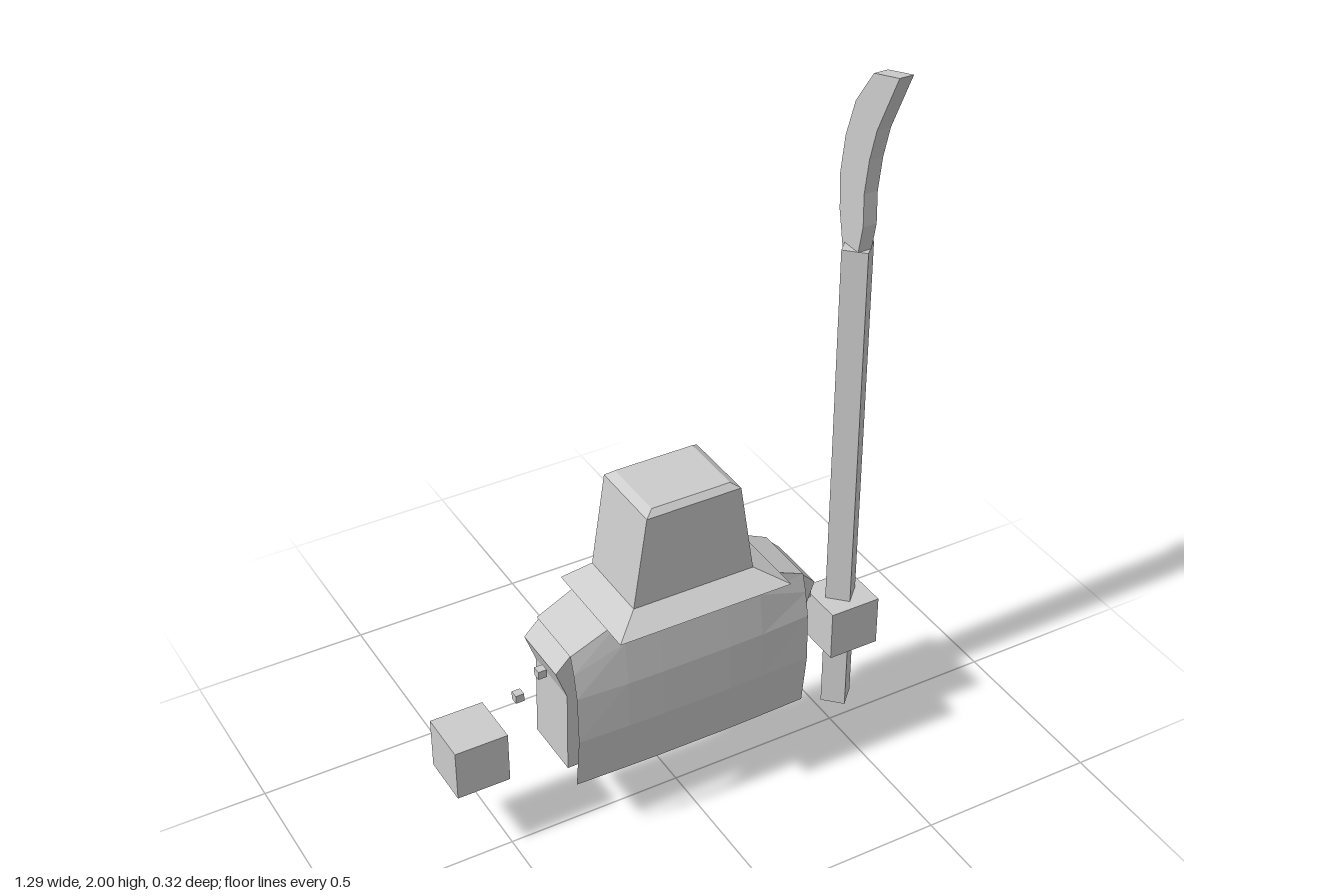
import * as THREE from 'three';

const mat = new THREE.MeshStandardMaterial({ color: 0xcccccc, flatShading: true });
const cloth = new THREE.MeshStandardMaterial({ color: 0xcccccc, flatShading: true, side: THREE.DoubleSide });

// Faceted surface through rows of points (rows run bottom to top, points left to right)
function sheet(rows) {
  const pos = [], index = [], n = rows[0].length;
  rows.forEach((row) => row.forEach((p) => pos.push(...p)));
  for (let i = 0; i < rows.length - 1; i++) {
    for (let j = 0; j < n - 1; j++) {
      const a = i * n + j, b = a + n;
      index.push(a, a + 1, b + 1, a, b + 1, b);
    }
  }
  const indexed = new THREE.BufferGeometry();
  indexed.setAttribute('position', new THREE.Float32BufferAttribute(pos, 3));
  indexed.setIndex(index);
  const g = indexed.toNonIndexed();
  g.computeVertexNormals();
  return g;
}

// Closed rectangular ring: half width, back z, front z, height
const ring = ([w, zb, zf, y]) => [[-w, y, zf], [w, y, zf], [w, y, zb], [-w, y, zb], [-w, y, zf]];

function extrude(points, depth) {
  const shape = new THREE.Shape(points.map(([x, y]) => new THREE.Vector2(x, y)));
  return new THREE.ExtrudeGeometry(shape, { depth, bevelEnabled: false });
}

export function createModel() {
  const model = new THREE.Group();
  const add = (name, geometry, material = mat, x = 0, y = 0, z = 0) => {
    const m = new THREE.Mesh(geometry, material);
    m.name = name;
    m.position.set(x, y, z);
    model.add(m);
    return m;
  };

  // Torso: front outline pushed through its depth
  const half = [[0.36, 0.25], [0.355, 0.49], [0.385, 0.575], [0.345, 0.615], [0.2, 0.68]];
  const outline = [...half, ...half.map(([x, y]) => [-x, y]).reverse()];
  add('torso', extrude(outline, 0.175), mat, 0, 0, -0.11);

  // Tapered hood with a bevelled top
  add('hood', sheet([
    [0.178, -0.128, 0.093, 0.67],
    [0.175, -0.128, 0.093, 0.72],
    [0.135, -0.128, 0.093, 0.985],
    [0.112, -0.112, 0.076, 1.0],
    [0, -0.018, -0.018, 1.0],
  ].map(ring)), cloth);
  add('hoodPanel', extrude([[-0.085, 0.68], [0.085, 0.68], [0.078, 0.935], [-0.078, 0.935]], 0.004), mat, 0, 0, -0.13);

  // Flared collar, open at the back
  const rim = (w, y, zb, zf) => [[-w, y, zb], [-w, y, zf], [w, y, zf], [w, y, zb]];
  add('collar', sheet([rim(0.25, 0.683, -0.16, 0.16), rim(0.175, 0.722, -0.128, 0.093)]), cloth);

  // Bulging front cloth: y, centre z, edge z, edge half width, drop of the edge
  add('frontCloth', sheet([
    [0.2, 0.09, 0.084, 0.345, 0],
    [0.36, 0.112, 0.104, 0.345, 0],
    [0.5, 0.11, 0.1, 0.345, 0],
    [0.62, 0.093, 0.086, 0.345, 0.05],
    [0.685, 0.076, 0.07, 0.345, 0.065],
  ].map(([y, zc, ze, w, drop]) => [
    [-w, y - drop, ze], [-0.2, y, zc - 0.002], [-0.1, y, zc],
    [0.1, y, zc], [0.2, y, zc - 0.002], [w, y - drop, ze],
  ])), cloth);

  for (const s of [1, -1]) {
    const side = s > 0 ? 'left' : 'right';
    const order = (outer, inner) => (s > 0 ? [outer, inner] : [inner, outer]);

    // Shoulder cloth running from the front cloth to the back
    add(side + 'ShoulderCloth', sheet([
      order([s * 0.345, 0.62, -0.115], [s * 0.2, 0.686, -0.12]),
      order([s * 0.345, 0.62, 0.07], [s * 0.2, 0.686, 0.075]),
    ].reverse()), cloth);

    // Back cloth narrowing into a hanging strap: outer x, y, z then inner x, y, z
    add(side + 'BackStrap', sheet([
      [0.182, 0.2, -0.15, 0.115, 0.2, -0.15],
      [0.182, 0.36, -0.152, 0.115, 0.36, -0.152],
      [0.185, 0.5, -0.142, 0.115, 0.5, -0.142],
      [0.25, 0.575, -0.122, 0.113, 0.6, -0.13],
      [0.345, 0.62, -0.115, 0.11, 0.686, -0.12],
      [0.2, 0.686, -0.12, 0.11, 0.686, -0.12],
    ].map(([xo, yo, zo, xi, yi, zi]) => order([s * xo, yo, zo], [s * xi, yi, zi]))), cloth);

    // Floating hand and the two beads leading to it
    add(side + 'Hand', new THREE.BoxGeometry(0.15, 0.15, 0.15), mat, s * 0.57, 0.295, -0.077);
    for (const [x, y, z] of [[0.39, 0.53, -0.012], [0.436, 0.437, -0.056]]) {
      add(side + 'Bead', new THREE.BoxGeometry(0.024, 0.024, 0.024), mat, s * x, y, z);
    }
  }

  // Square pole turned on its corner
  add('pole', new THREE.CylinderGeometry(0.049, 0.049, 1.47, 4), mat, 0.57, 0.735, -0.08);

  // Curved blade: outline in (z, y), thickness along x
  const blade = add('blade', extrude([
    [0.085, 2.0], [-0.02, 1.97], [-0.09, 1.87], [-0.127, 1.76], [-0.143, 1.65], [-0.138, 1.55],
    [-0.115, 1.44], [-0.1, 1.46], [-0.048, 1.47], [-0.032, 1.55], [-0.035, 1.64], [-0.02, 1.74], [0.005, 1.83],
  ].map(([z, y]) => [-z, y]), 0.04), mat, 0.55, 0, 0);
  blade.rotation.y = Math.PI / 2;

  return model;
}
